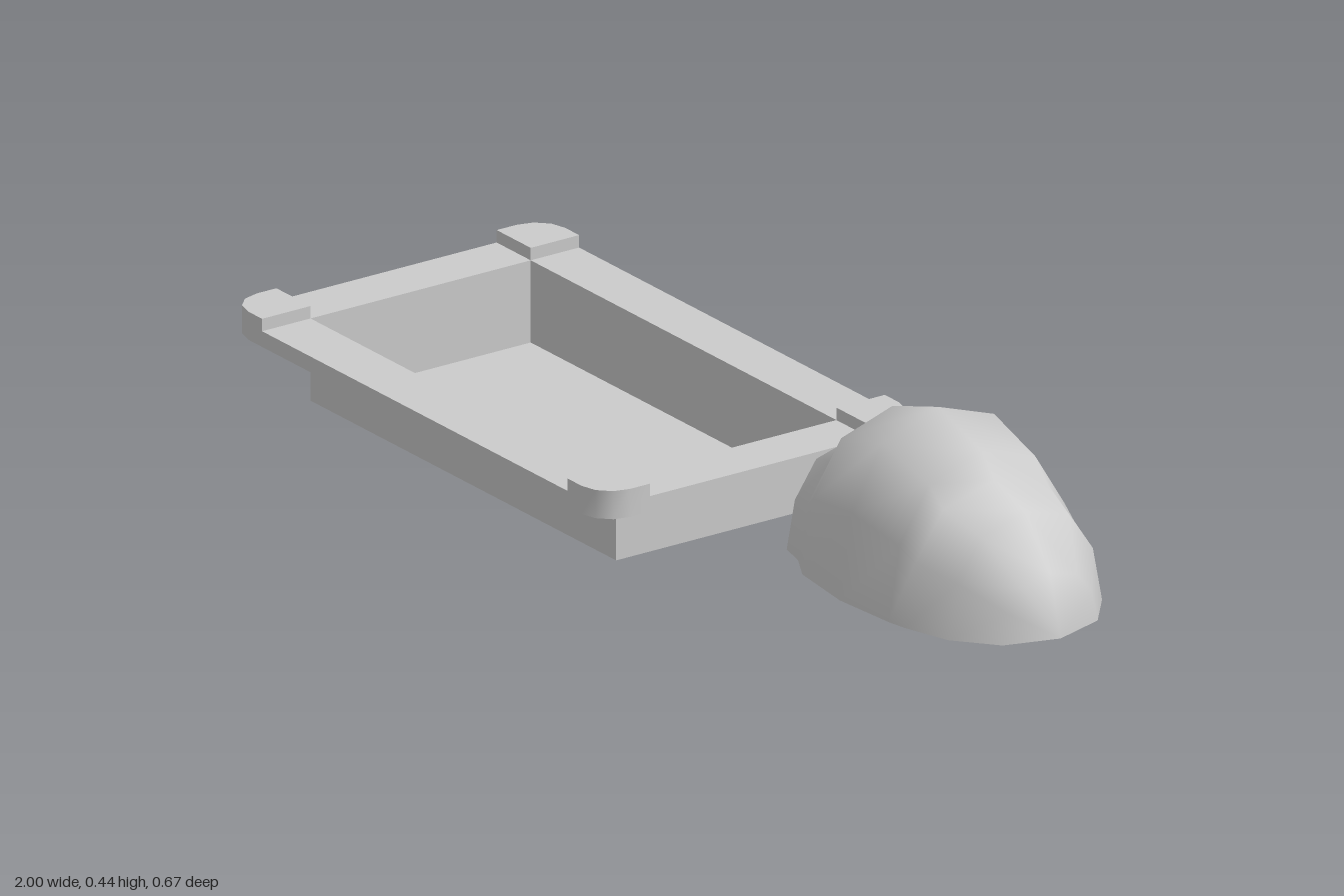
import * as THREE from 'three';
import { mergeGeometries, mergeVertices, toCreasedNormals } from 'three/addons/utils/BufferGeometryUtils.js';

const material = new THREE.MeshStandardMaterial({ color: 0xcccccc, side: THREE.DoubleSide });

// Tray dimensions: centre, outer and inner half sizes, heights
const CX = -0.446, OX = 0.554, OZ = 0.334, IX = 0.453, IZ = 0.232;
const SKIRT = 0.123, RIM = 0.152, PAD = 0.175, RADIUS = 0.06;

// Upright strip along a list of [x, z] points
function wall(points, y0, y1) {
  const pos = [];
  for (let i = 0; i < points.length - 1; i++) {
    const [ax, az] = points[i], [bx, bz] = points[i + 1];
    pos.push(ax, y0, az, bx, y0, bz, bx, y1, bz, ax, y0, az, bx, y1, bz, ax, y1, az);
  }
  const geometry = new THREE.BufferGeometry();
  geometry.setAttribute('position', new THREE.Float32BufferAttribute(pos, 3));
  return geometry;
}

// Flat sheet with the given [x, z] outline, facing up
function sheet(points, y) {
  const shape = new THREE.Shape(points.map(([x, z]) => new THREE.Vector2(x, -z)));
  const geometry = new THREE.ShapeGeometry(shape).rotateX(-Math.PI / 2).translate(0, y, 0).toNonIndexed();
  geometry.deleteAttribute('uv');
  geometry.deleteAttribute('normal');
  return geometry;
}

const rect = (x0, x1, z0, z1) => [[x0, z1], [x1, z1], [x1, z0], [x0, z0]];

function part(name, pieces) {
  const mesh = new THREE.Mesh(toCreasedNormals(mergeGeometries(pieces), 0.7), material);
  mesh.name = name;
  return mesh;
}

// Raised hollow corner with a rounded outer edge
function cornerPad(sx, sz) {
  const place = (points) => {
    const placed = points.map(([x, z]) => [sx * x, sz * z]);
    return sx * sz < 0 ? placed.reverse() : placed;
  };
  const outer = [[IX, OZ]];
  for (let i = 0; i <= 3; i++) {
    const a = (i / 3) * Math.PI / 2;
    outer.push([OX - RADIUS + RADIUS * Math.sin(a), OZ - RADIUS + RADIUS * Math.cos(a)]);
  }
  outer.push([OX, IZ]);
  return part('cornerPad', [
    wall(place(outer), SKIRT, PAD),
    wall(place([[OX, IZ], [IX, IZ], [IX, OZ]]), RIM, PAD),
    sheet(place([...outer, [IX, IZ]]), PAD),
  ]);
}

function createTray() {
  const tray = new THREE.Group();
  tray.name = 'tray';
  const basin = rect(-IX, IX, -IZ, IZ);
  tray.add(part('basin', [wall([...basin, basin[0]], 0, RIM), sheet(basin, 0)]));

  // Rim sheets with their short outer skirts
  const pieces = [];
  for (const s of [-1, 1]) {
    pieces.push(
      sheet(rect(-IX, IX, Math.min(s * IZ, s * OZ), Math.max(s * IZ, s * OZ)), RIM),
      sheet(rect(Math.min(s * IX, s * OX), Math.max(s * IX, s * OX), -IZ, IZ), RIM),
      wall([[-s * IX, s * OZ], [s * IX, s * OZ]], SKIRT, RIM),
      wall([[s * OX, s * IZ], [s * OX, -s * IZ]], SKIRT, RIM),
    );
  }
  tray.add(part('rim', pieces));

  for (const sx of [-1, 1]) for (const sz of [-1, 1]) tray.add(cornerPad(sx, sz));
  tray.position.x = CX;
  return tray;
}

// Lumpy open shell lofted from arched sections along x
function createMound() {
  const base = 0.125;
  // x, half width, height
  const sections = [
    [0.295, 0, 0], [0.32, 0.08, 0.097], [0.39, 0.145, 0.176], [0.442, 0.158, 0.192],
    [0.5, 0.19, 0.268], [0.635, 0.207, 0.31], [0.765, 0.197, 0.27], [0.803, 0.19, 0.23],
    [0.893, 0.162, 0.2], [0.967, 0.1, 0.11], [0.998, 0, 0],
  ];
  // Arch as fractions of half width and height
  const arch = [[1, 0], [0.88, 0.5], [0.57, 0.87], [0, 1], [-0.57, 0.87], [-0.88, 0.5], [-1, 0]];
  const pos = [], index = [], n = arch.length;
  sections.forEach(([x, w, h], i) => {
    arch.forEach(([u, v], j) => {
      pos.push(x, base + h * v, w * u);
      if (i === sections.length - 1 || j === n - 1) return;
      const a = i * n + j, b = a + n;
      if (i < sections.length - 2) index.push(a, b, b + 1);
      else index.push(a, b, a + 1);
      if (i > 0 && i < sections.length - 2) index.push(a, b + 1, a + 1);
    });
  });
  let geometry = new THREE.BufferGeometry();
  geometry.setAttribute('position', new THREE.Float32BufferAttribute(pos, 3));
  geometry.setIndex(index);
  geometry = mergeVertices(geometry);
  geometry.computeVertexNormals();
  const mound = new THREE.Mesh(geometry, material);
  mound.name = 'mound';
  return mound;
}

export function createModel() {
  const model = new THREE.Group();
  model.name = 'trayAndMound';
  model.add(createTray(), createMound());
  return model;
}
